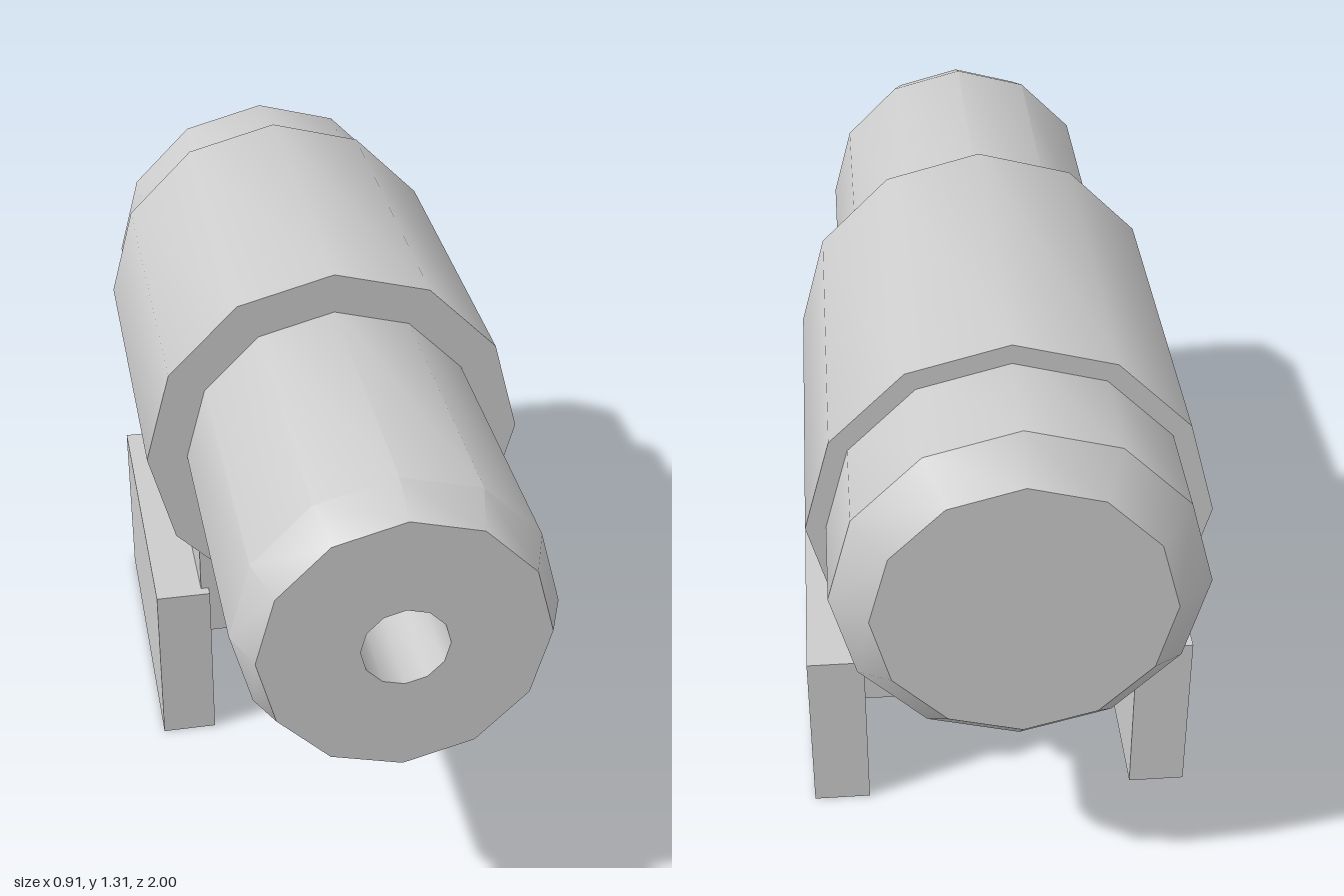
import * as THREE from 'three';
import { toCreasedNormals } from 'three/addons/utils/BufferGeometryUtils.js';

const material = new THREE.MeshStandardMaterial({ color: 0xcccccc });
const openMaterial = new THREE.MeshStandardMaterial({ color: 0xcccccc, side: THREE.DoubleSide });

// Twelve-sided turned part along z; profile is [radius, z] from back to front
function turned(name, profile) {
  const points = profile.map(([r, z]) => new THREE.Vector2(r, z));
  const geometry = new THREE.LatheGeometry(points, 12).rotateX(Math.PI / 2);
  const mesh = new THREE.Mesh(toCreasedNormals(geometry, 0.61), material);
  mesh.name = name;
  mesh.position.set(-0.01, 0.868, 0);
  return mesh;
}

// Box given by its limits; open ones have no underside
function block(name, [x0, x1], [y0, y1], [z0, z1], open = false) {
  const geometry = new THREE.BoxGeometry(x1 - x0, y1 - y0, z1 - z0);
  if (open) {
    const index = Array.from(geometry.index.array);
    index.splice(18, 6); // underside
    geometry.setIndex(index);
    geometry.clearGroups();
  }
  const mesh = new THREE.Mesh(geometry, open ? openMaterial : material);
  mesh.name = name;
  mesh.position.set((x0 + x1) / 2, (y0 + y1) / 2, (z0 + z1) / 2);
  return mesh;
}

export function createModel() {
  const model = new THREE.Group();
  model.name = 'clampedTube';

  // Tube: bevelled rear cap, wide sleeve, front barrel with a bore
  model.add(
    turned('rearCap', [[0, -1], [0.32, -1], [0.402, -0.92], [0.402, -0.6]]),
    turned('sleeve', [[0, -0.675], [0.447, -0.675], [0.447, 0.2], [0, 0.2]]),
    turned('frontBarrel', [[0.352, 0.15], [0.352, 0.9], [0.312, 1], [0.095, 1], [0.095, 0.7], [0, 0.7]])
  );

  // Mount under the sleeve
  model.add(
    block('mountPlate', [-0.18, 0.185], [0.397, 0.5], [-0.6, 0.13]),
    block('mountRail', [-0.042, 0.052], [0.32, 0.397], [-0.52, 0.05], true)
  );

  // Brackets and side feet, mirrored about x = 0.003
  for (const side of [-1, 1]) {
    const span = (a, b) => [0.003 + side * a, 0.003 + side * b].sort((p, q) => p - q);
    const prefix = side > 0 ? 'left' : 'right';
    model.add(
      block(prefix + 'Bracket', span(0.18, 0.339), [0.297, 0.608], [-0.6, 0.135], true),
      block(prefix + 'Foot', span(0.32, 0.453), [0, 0.43], [-0.625, 0.16], true)
    );
  }
  return model;
}
